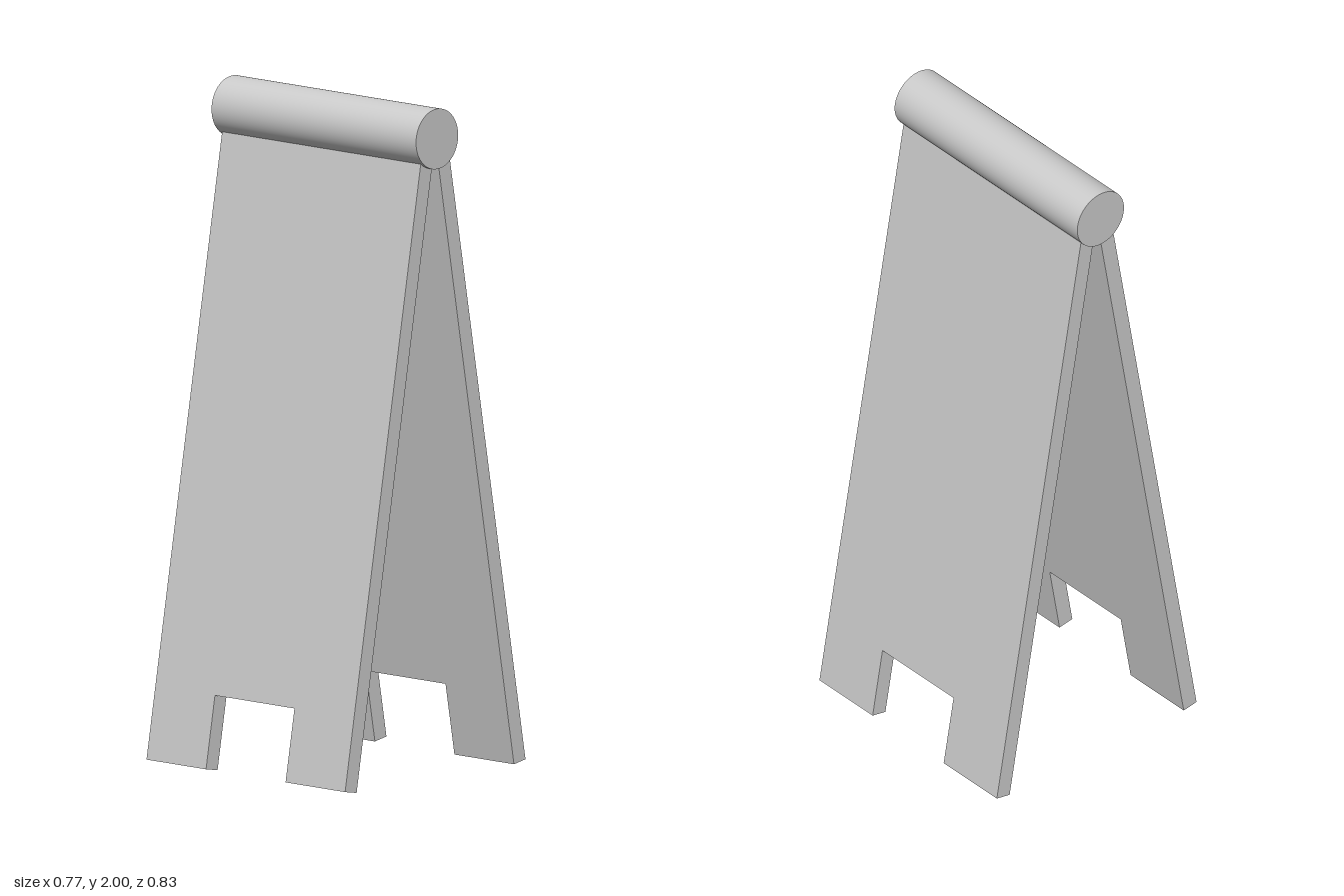
import * as THREE from 'three';

const TILT = THREE.MathUtils.degToRad(10);
const THICK = 0.05;

// Flat board with a rectangular cut-out at its foot, extruded to thickness
function panelGeometry() {
  const w = 0.402, notch = 0.161, notchTop = 0.219, length = 1.9;
  const shape = new THREE.Shape([
    [-w, 0], [-notch, 0], [-notch, notchTop], [notch, notchTop],
    [notch, 0], [w, 0], [w, length], [-w, length],
  ].map(([x, y]) => new THREE.Vector2(x, y)));
  const geometry = new THREE.ExtrudeGeometry(shape, { depth: THICK, bevelEnabled: false });
  // Turn to face sideways: thickness runs from x = 0 outwards
  return geometry.rotateY(Math.PI / 2);
}

export function createModel() {
  const group = new THREE.Group();
  const material = new THREE.MeshStandardMaterial({ color: 0xcccccc });
  const geometry = panelGeometry();

  // Two leaning panels; the right one is the left one turned half around
  for (const [name, turn] of [['leftPanel', 0], ['rightPanel', Math.PI]]) {
    const side = new THREE.Group();
    side.name = name;
    const panel = new THREE.Mesh(geometry, material);
    panel.name = name + 'Board';
    panel.position.x = 0.336;
    panel.rotation.z = TILT;
    side.rotation.y = turn;
    side.add(panel);
    group.add(side);
  }

  // Round bar joining the panels at the top
  const bar = new THREE.Mesh(new THREE.CylinderGeometry(0.09, 0.09, 0.828, 64), material);
  bar.name = 'topBar';
  bar.rotation.x = Math.PI / 2;
  bar.position.set(-0.005, 1.91, 0);
  group.add(bar);

  return group;
}
